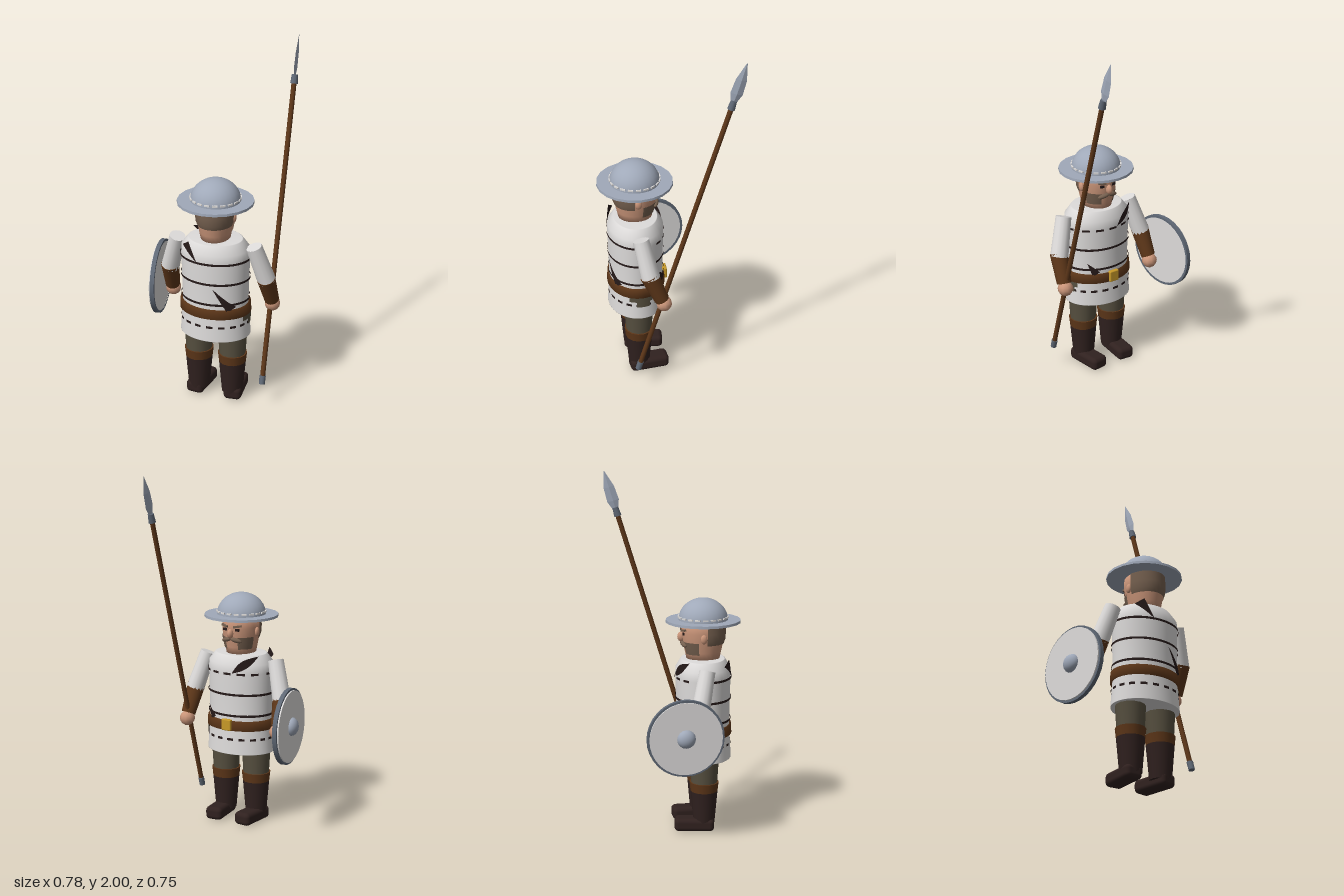
import * as THREE from 'three';
import { RoundedBoxGeometry } from 'three/addons/geometries/RoundedBoxGeometry.js';

const V = (x, y, z) => new THREE.Vector3(x, y, z);
const mat = (name, color, side = THREE.FrontSide) => {
  const m = new THREE.MeshStandardMaterial({ color, side });
  m.name = name;
  return m;
};

export function createModel() {
  const skin = mat('skin', 0xcb967a), cloth = mat('cloth', 0xdddbda, THREE.DoubleSide);
  const steel = mat('steel', 0xa0a9b9), darkSteel = mat('darkSteel', 0x606976);
  const leather = mat('leather', 0x5e3719), boot = mat('boot', 0x30211f);
  const olive = mat('olive', 0x575040, THREE.DoubleSide), hair = mat('hair', 0x75604f, THREE.DoubleSide);
  const gold = mat('gold', 0xc89a28), dark = mat('dark', 0x261a19, THREE.DoubleSide);

  const root = new THREE.Group();
  const body = new THREE.Group();
  body.name = 'soldier';
  body.position.set(0.05, 0, 0.165);
  root.add(body);

  const add = (name, geo, m, x = 0, y = 0, z = 0, parent = body) => {
    const mesh = new THREE.Mesh(geo, m);
    mesh.name = name;
    mesh.position.set(x, y, z);
    parent.add(mesh);
    return mesh;
  };
  const lathe = (pts, zScale, segs = 32, start = 0, len = Math.PI * 2) =>
    new THREE.LatheGeometry(pts.map(p => new THREE.Vector2(...p)), segs, start, len).scale(1, 1, zScale);
  // tapered limb from a to b
  const limb = (name, a, b, ra, rb, m, parent = body, segs = 14) => {
    const mesh = add(name, new THREE.CylinderGeometry(rb, ra, a.distanceTo(b), segs), m, 0, 0, 0, parent);
    mesh.position.copy(a).lerp(b, 0.5);
    mesh.quaternion.setFromUnitVectors(V(0, 1, 0), b.clone().sub(a).normalize());
    return mesh;
  };
  const Z = 0.8; // depth of the torso relative to its width
  const band = (name, y, r, h, m, start = 0, len = Math.PI * 2) =>
    add(name, new THREE.CylinderGeometry(r, r, h, Math.max(2, Math.round(len * 8)), 1, true, start, len).scale(1, 1, Z), m, 0, y, 0);

  // Tunic
  add('tunic', lathe([[0, 0.412], [0.2, 0.412], [0.2, 0.414], [0.19, 0.55], [0.187, 0.62], [0.19, 0.75],
    [0.194, 0.88], [0.192, 0.93], [0.155, 0.978], [0.15, 0.98], [0, 0.985]], Z, 40), cloth);

  // Dark seams: whole rings and dashed rows
  band('seam', 0.76, 0.197, 0.013, dark);
  band('seam', 0.638, 0.195, 0.013, dark);
  band('seam', 0.88, 0.2, 0.013, dark, -Math.PI / 2 - 0.3, Math.PI + 0.6);
  for (let i = 0; i < 5; i++) band('seamDash', 0.88, 0.2, 0.013, dark, Math.PI + (i - 2) * 0.42 - 0.12, 0.24);
  for (let i = 0; i < 18; i++) band('hemDash', 0.5, 0.198, 0.014, dark, i * Math.PI / 9, 0.19);

  // Rips in the cloth, bent around the torso
  const rip = (a, b, width, side) => {
    const geo = new THREE.PlaneGeometry(1, 1, 2, 12), p = geo.attributes.position;
    const dx = b[0] - a[0], dy = b[1] - a[1], l = Math.hypot(dx, dy);
    for (let i = 0; i < p.count; i++) {
      const t = p.getY(i) + 0.5, s = p.getX(i) * width(t);
      const x = a[0] + dx * t - dy / l * s, y = a[1] + dy * t + dx / l * s;
      p.setXYZ(i, x, y, side * Z * Math.sqrt(Math.max(0, 0.2 ** 2 - x * x)));
    }
    geo.computeVertexNormals();
    add('rip', geo, dark);
  };
  rip([-0.13, 0.975], [-0.055, 0.88], t => 0.055 * (1 - t), 1);
  rip([0.035, 0.74], [0.135, 0.61], t => 0.05 * t, 1);
  rip([-0.03, 0.885], [-0.165, 0.985], t => 0.045 * Math.sin(Math.PI * t), -1);
  rip([0.145, 0.68], [0.1, 0.61], t => 0.045 * t, -1);

  // Belt, buckle and hip patch
  add('belt', lathe([[0.18, 0.552], [0.203, 0.552], [0.2, 0.607], [0.18, 0.607]], Z, 40), leather);
  add('buckle', new RoundedBoxGeometry(0.06, 0.065, 0.025, 2, 0.006), gold, 0, 0.585, -0.163);
  band('hipPatch', 0.54, 0.2, 0.035, olive, Math.PI / 2 - 0.42, 0.84);
  band('hipPatch', 0.512, 0.2, 0.045, olive, Math.PI / 2 - 0.15, 0.46);

  // Legs and arms
  for (const s of [-1, 1]) {
    const x = s * 0.1;
    limb('trouserLeg', V(x, 0.27, 0), V(x, 0.47, 0), 0.074, 0.086, olive);
    limb('bootCuff', V(x, 0.232, 0), V(x, 0.285, 0), 0.077, 0.083, leather);
    limb('bootShaft', V(x, 0.04, 0), V(x, 0.245, 0), 0.06, 0.078, boot);
    const foot = add('bootFoot', new RoundedBoxGeometry(0.102, 0.075, 0.225, 3, 0.025), boot, s * 0.104, 0.0375, -0.055);
    foot.rotation.y = s * 0.1;

    const elbow = V(s * 0.285, 0.74, -0.04), wrist = V(s * 0.296, 0.6, -0.1);
    limb('upperArm', V(s * 0.222, 0.953, 0.003), elbow, 0.045, 0.052, cloth);
    limb('bracer', V(s * 0.282, 0.758, -0.032), wrist, 0.052, 0.041, leather);
    add('hand', new THREE.SphereGeometry(0.044, 10, 8), skin, s * 0.296, 0.573, -0.112);
  }

  // Head, hair and stubble
  const HZ = 1.16;
  add('head', lathe([[0, 0.97], [0.08, 0.975], [0.088, 1.02], [0.1, 1.08], [0.104, 1.13], [0.104, 1.2], [0, 1.2]], HZ, 24), skin);
  add('hair', lathe([[0.1, 1.065], [0.108, 1.09], [0.111, 1.13], [0.109, 1.2]], HZ, 14, -1.45, 2.9), hair);
  for (const s of [-1, 1]) {
    add('stubble', lathe([[0.09, 1.01], [0.097, 1.04], [0.104, 1.08]], HZ, 6, s > 0 ? 1.85 : -2.75, 0.9), hair);
    add('ear', new THREE.SphereGeometry(0.024, 10, 8).scale(0.5, 1.1, 0.8), skin, s * 0.105, 1.105, -0.005);
    add('eye', new THREE.BoxGeometry(0.024, 0.014, 0.009), dark, s * 0.038, 1.125, -0.113);
    const brow = add('brow', new THREE.BoxGeometry(0.046, 0.011, 0.014), hair, s * 0.04, 1.145, -0.114);
    brow.rotation.set(0, s * -0.35, s * 0.15);
    const tache = add('moustache', new THREE.SphereGeometry(1, 10, 8).scale(0.036, 0.013, 0.015), hair, s * 0.03, 1.066, -0.112);
    tache.rotation.set(0, s * -0.3, s * -0.25);
  }
  add('nose', new THREE.SphereGeometry(1, 10, 8).scale(0.017, 0.028, 0.024), skin, 0, 1.103, -0.122);

  // Kettle helmet
  add('helmetCrown', new THREE.SphereGeometry(0.139, 24, 10, 0, Math.PI * 2, 0, Math.PI / 2).scale(1, 0.9, 1), steel, 0, 1.196, 0);
  add('helmetBrim', new THREE.CylinderGeometry(0.21, 0.211, 0.014, 20), steel, 0, 1.193, 0);
  for (let i = 0; i < 20; i++) {
    const a = i * Math.PI / 10;
    const r = add('helmetTrim', new THREE.BoxGeometry(0.028, 0.009, 0.008), cloth, Math.sin(a) * 0.138, 1.216, Math.cos(a) * 0.138);
    r.rotation.y = a;
  }

  // Spear, leaning forward
  const spear = new THREE.Group();
  spear.name = 'spear';
  spear.position.set(0.338, 0.13, 0.2);
  spear.rotation.x = -Math.atan(0.306);
  root.add(spear);
  limb('spearShaft', V(0, 0.02, 0), V(0, 1.7, 0), 0.014, 0.014, leather, spear, 10);
  limb('spearButt', V(0, 0, 0), V(0, 0.05, 0), 0.017, 0.018, darkSteel, spear, 10);
  limb('spearCollar', V(0, 1.69, 0), V(0, 1.74, 0), 0.021, 0.017, darkSteel, spear, 10);
  const blade = lathe([[0.012, 1.72], [0.034, 1.78], [0.03, 1.86], [0.002, 1.955]], 1, 4).scale(0.28, 1, 1).toNonIndexed();
  blade.computeVertexNormals();
  add('spearBlade', blade, steel, 0, 0, 0, spear);

  // Round shield, its axis along local y and pointing outward
  const shield = new THREE.Group();
  shield.name = 'shield';
  shield.position.set(-0.328, 0.622, 0.036);
  shield.rotation.set(0, -Math.PI / 2 + 0.125, 0);
  const disc = new THREE.Group();
  disc.rotation.x = Math.PI / 2;
  shield.add(disc);
  root.add(shield);
  add('shieldRim', lathe([[0.2, -0.012], [0.214, -0.012], [0.214, -0.0119], [0.214, 0.0119], [0.214, 0.012], [0.2, 0.012]], 1, 32), darkSteel, 0, 0, 0, disc);
  add('shieldBoard', new THREE.CylinderGeometry(0.202, 0.202, 0.03, 32), cloth, 0, 0.005, 0, disc);
  add('shieldBoss', new THREE.SphereGeometry(0.052, 16, 8, 0, Math.PI * 2, 0, Math.PI / 2).scale(1, 0.75, 1), steel, 0, 0.018, 0, disc);

  return root;
}
